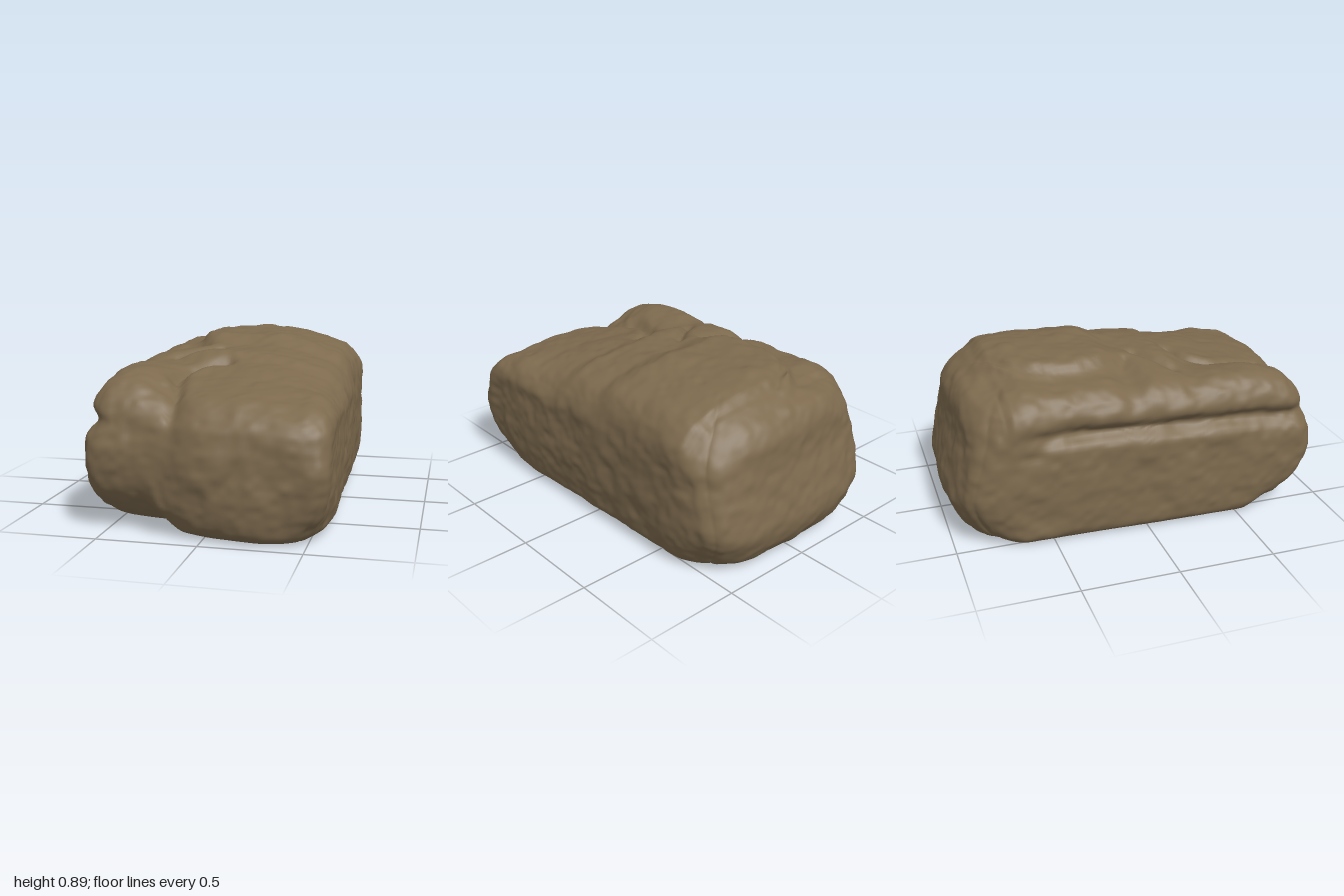
import * as THREE from 'three';
import { mergeVertices } from 'three/addons/utils/BufferGeometryUtils.js';

const { clamp, lerp, smoothstep } = THREE.MathUtils;
const bell = (d, w) => Math.exp(-(d * d) / (w * w));
// 1 at the ground, easing out to 0 at height h
const low = (y, h) => clamp(1 - y / h, 0, 1) ** 2;

// Piecewise smooth interpolation through [position, value] pairs
function profile(points, s) {
  if (s <= points[0][0]) return points[0][1];
  for (let i = 1; i < points.length; i++) {
    const [a, va] = points[i - 1], [b, vb] = points[i];
    if (s <= b) return lerp(va, vb, lerp((s - a) / (b - a), smoothstep(s, a, b), 0.5));
  }
  return points[points.length - 1][1];
}

// Seeded value noise in -1..1
function hash(x, y, z) {
  let h = Math.imul(x, 374761393) ^ Math.imul(y, 668265263) ^ Math.imul(z, 1440662683);
  h = Math.imul(h ^ (h >>> 13), 1274126177);
  return ((h ^ (h >>> 16)) >>> 0) / 2147483648 - 1;
}
function noise(x, y, z) {
  const X = Math.floor(x), Y = Math.floor(y), Z = Math.floor(z);
  const u = smoothstep(x - X, 0, 1), v = smoothstep(y - Y, 0, 1), w = smoothstep(z - Z, 0, 1);
  const row = (j, k) => lerp(hash(X, Y + j, Z + k), hash(X + 1, Y + j, Z + k), u);
  return lerp(lerp(row(0, 0), row(1, 0), v), lerp(row(0, 1), row(1, 1), v), w);
}

// Height of the crown along the length
const CROWN = [[-1, 0.74], [-0.9, 0.78], [-0.8, 0.82], [-0.72, 0.86], [-0.6, 0.875], [-0.15, 0.87],
  [-0.02, 0.825], [0.2, 0.81], [0.32, 0.765], [0.6, 0.72], [0.85, 0.67], [1, 0.62]];
// Height of the swollen front left lobe
const LOBE = [[0.2, 0.78], [0.4, 0.78], [0.65, 0.765], [0.85, 0.735], [1, 0.69]];

// Creases in the top, as x, z paths
const CREASES = [
  { depth: 0.04, width: 0.03, path: [[-0.16, 0.95], [-0.17, 0.75], [-0.21, 0.55], [-0.16, 0.38], [-0.03, 0.29]] },
  { depth: 0.03, width: 0.03, path: [[-0.32, 0.22], [-0.22, 0.15], [-0.12, 0.07]] },
  { depth: 0.02, width: 0.025, path: [[-0.04, -0.76], [-0.24, -0.6], [-0.32, -0.35], [-0.27, -0.13], [-0.2, -0.01]] },
].map(c => ({ ...c, points: new THREE.CatmullRomCurve3(
  c.path.map(([x, z]) => new THREE.Vector3(x, 0, z))).getPoints(40) }));

function topHeight(x, z) {
  const front = smoothstep(z, 0.2, 0.85);
  const off = Math.max(0, Math.abs(x) - 0.08);
  let h = profile(CROWN, z) - off * off * (x > 0 ? lerp(0.5, 0.1, front) : 0.25);
  // raised slab bounded by the curved step at the back
  const edge = -0.32 + 0.95 * (z + 0.35) ** 2;
  const along = smoothstep(z, -0.95, -0.7) * (1 - smoothstep(z, -0.08, 0.08));
  h -= 0.05 * along * (1 - smoothstep(x, edge - 0.05, edge + 0.03));
  // front left lobe
  const lobe = smoothstep(z, 0.15, 0.4) * (1 - smoothstep(x, -0.34, -0.15));
  h = lerp(h, profile(LOBE, z) - 0.8 * (x + 0.42) ** 2, lobe);
  for (const { points, depth, width } of CREASES) {
    let d = Infinity;
    for (const p of points) d = Math.min(d, Math.hypot(p.x - x, p.z - z));
    h -= depth * bell(d, width);
  }
  return h;
}

function loafGeometry() {
  const W = 0.6, H = 0.8, L = 0.985;
  let geo = new THREE.BoxGeometry(2 * W, H, 2 * L, 72, 48, 116);
  geo.deleteAttribute('normal');
  geo.deleteAttribute('uv');
  geo = mergeVertices(geo, 1e-4);
  const pos = geo.attributes.position;
  const p = new THREE.Vector3(), q = new THREE.Vector3();

  for (let i = 0; i < pos.count; i++) {
    // rounded block, softer at the top
    p.fromBufferAttribute(pos, i);
    const t = p.y / H + 0.5;
    const r = lerp(0.075, 0.125, smoothstep(t, 0.2, 0.9));
    q.set(clamp(p.x, r - W, W - r), clamp(p.y, r - H / 2, H / 2 - r), clamp(p.z, r - L, L - r));
    p.sub(q);
    if (p.lengthSq() > 0) p.setLength(Math.min(r, Math.max(Math.abs(p.x), Math.abs(p.y), Math.abs(p.z))));
    p.add(q);
    let { x, z } = p;
    let y = (p.y / H + 0.5) * topHeight(x, z);

    // corners rounded further in plan, most of all near the ground
    const R = 0.36;
    const cx = x - clamp(x, R - W, W - R), cz = z - clamp(z, R - L, L - R);
    if (cx !== 0 && cz !== 0) {
      const ground = low(y, 0.4), crust = smoothstep(y, 0.5, 0.75);
      const amount = z < 0 ? 0.28 + 0.8 * ground + 0.25 * crust : 0.85 * ground + 0.2 * crust;
      const k = lerp(1, Math.max(Math.abs(cx), Math.abs(cz)) / Math.hypot(cx, cz), Math.min(1, amount));
      x += cx * (k - 1);
      z += cz * (k - 1);
    }

    // plan outline: slightly narrower back, slanted front, bowed back
    const s = z / L, side = x / W;
    const frontFace = smoothstep(z, 0.6, 0.95), backFace = smoothstep(-z, 0.55, 0.95);
    x *= lerp(0.955, 1.01, smoothstep(s, -1, 0.8));
    z += frontFace * (0.02 - 0.075 * (1 - smoothstep(side, -0.5, 0.1)) - 0.04 * smoothstep(y, 0.4, 0.65));
    z += backFace * (0.05 * side * side + 0.075 * smoothstep(y, 0.22, 0.6));
    // walls drawn in towards the base, the front one more to one side
    z += backFace * 0.1 * low(y, 0.25);
    z -= frontFace * (0.03 + 0.07 * (1 - smoothstep(side, -0.4, 0.6))) * low(y, 0.22);
    x -= Math.sign(x) * smoothstep(Math.abs(side), 0.5, 0.95) * (x > 0 ? 0.05 : 0.015) * low(y, 0.3);
    // deep undercut at the lower front left and slanting dents in the front
    const bound = 0.25 * low(y, 0.3);
    const lobeSide = 1 - smoothstep(side, bound - 0.58, bound - 0.4);
    z -= smoothstep(z, 0.3, 0.9) * lobeSide * 0.17 * low(y, 0.38);
    z -= frontFace * 0.015 * bell(x - 0.17 - 0.6 * (y - 0.35), 0.035) * bell(y - 0.35, 0.13);
    z -= frontFace * 0.012 * bell(x + 0.17 - 0.25 * (y - 0.4), 0.05) * smoothstep(y, 0.1, 0.3);
    // split along the right side below the crust
    const split = smoothstep(-x, 0.4, 0.55) * smoothstep(z, -0.75, -0.3);
    x += split * (0.05 * bell(y - 0.57 + 0.03 * s, 0.04) + 0.02 * smoothstep(y, 0.52, 0.6));
    pos.setXYZ(i, x, y, z);
  }

  // lumpy surface along the normals, flat underneath
  geo.computeVertexNormals();
  const n = geo.attributes.normal;
  for (let i = 0; i < pos.count; i++) {
    p.fromBufferAttribute(pos, i);
    q.fromBufferAttribute(n, i);
    const d = 0.009 * noise(p.x * 5 + 9, p.y * 6, p.z * 5)
      + 0.006 * noise(p.x * 12, p.y * 14 + 5, p.z * 12)
      + 0.004 * noise(p.x * 25, p.y * 28, p.z * 25 + 3);
    p.addScaledVector(q, d * smoothstep(p.y, 0, 0.06));
    pos.setXYZ(i, p.x, p.y, p.z);
  }

  // rest on the ground, centred
  geo.computeBoundingBox();
  const { min, max } = geo.boundingBox;
  geo.translate(-(min.x + max.x) / 2, -min.y, -(min.z + max.z) / 2);
  geo.computeVertexNormals();
  return geo;
}

export function createModel() {
  const group = new THREE.Group();
  group.name = 'loaf';
  const crust = new THREE.MeshStandardMaterial({ color: 0x7d6a4e });
  crust.name = 'brown crust';
  const body = new THREE.Mesh(loafGeometry(), crust);
  body.name = 'loafBody';
  group.add(body);
  return group;
}
